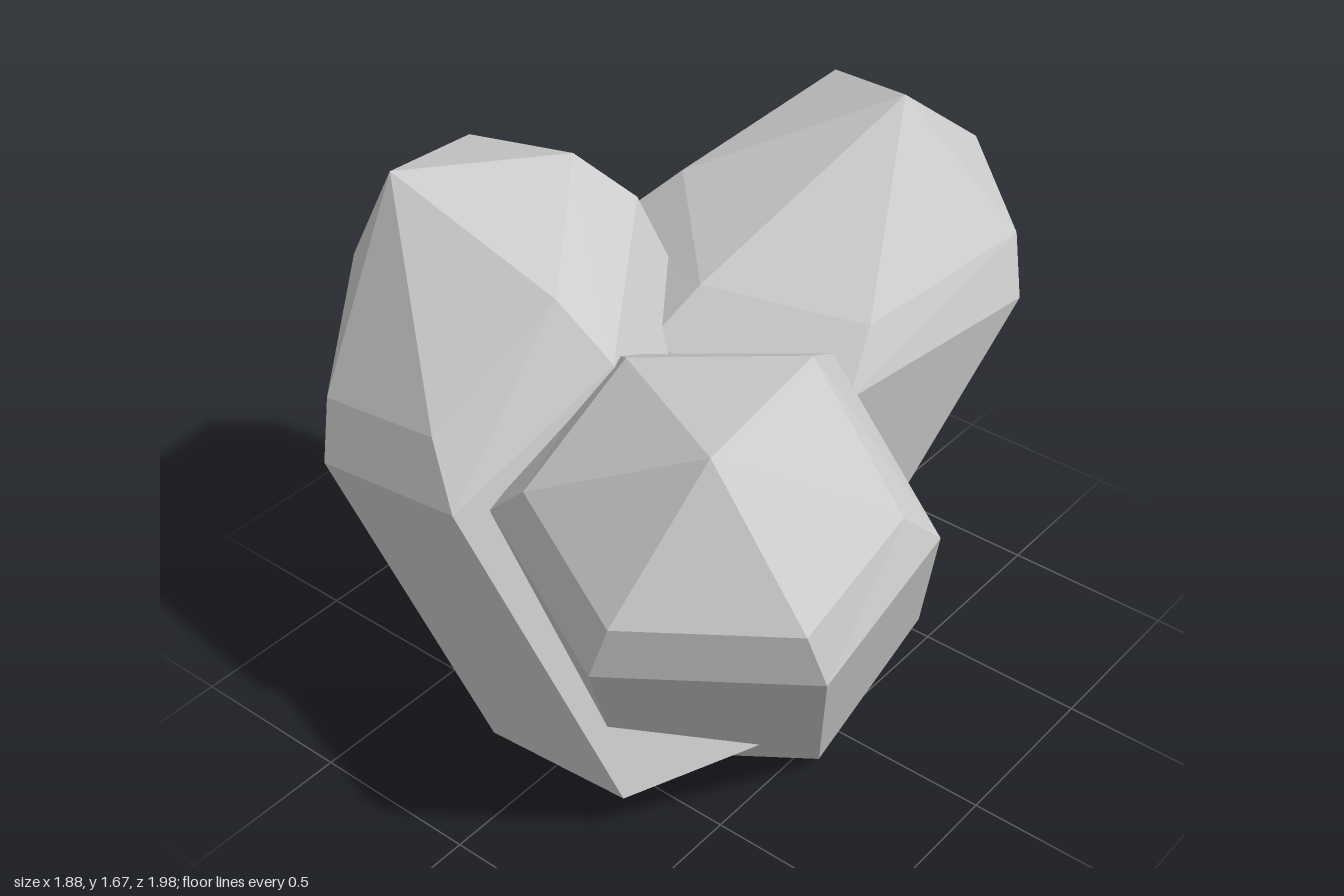
import * as THREE from 'three';

const v = (p) => new THREE.Vector3(...p);

// Six-sided crystal: flat base, slanted shaft, narrow bevel and pointed tip.
// base: centre of the base; axis: growth direction; a, b: two corners spanning the
// hexagon; heights: shaft length at each of the six edges; tip: length to the point.
function crystal({ name, base, axis, a, b, heights, tip }, material) {
  const o = v(base), d = v(axis).normalize(), A = v(a), B = v(b);
  const spokes = [[-1, 0], [-1, 1], [0, 1], [1, 0], [1, -1], [0, -1]]
    .map(([i, j]) => A.clone().multiplyScalar(i).addScaledVector(B, j));
  const ring = (scale, lift) => spokes.map((s, i) =>
    o.clone().addScaledVector(s, scale).addScaledVector(d, lift(i)));

  const rings = [
    ring(0, () => 0),                        // base centre
    ring(1, () => 0),                        // base edge
    ring(1, (i) => heights[i]),              // top of the shaft
    ring(0.82, (i) => heights[i] + 0.175),   // top of the bevel
    ring(0, () => tip),                      // point
  ];

  const points = [];
  for (let r = 0; r < rings.length - 1; r++) {
    for (let i = 0; i < 6; i++) {
      const j = (i + 1) % 6, lo = rings[r], hi = rings[r + 1];
      if (r > 0) points.push(lo[i], lo[j], hi[j]);
      if (r < 3) points.push(lo[i], hi[j], hi[i]);
      if (r === 3) continue;
    }
  }
  const geometry = new THREE.BufferGeometry().setFromPoints(points);
  geometry.computeVertexNormals();
  const mesh = new THREE.Mesh(geometry, material);
  mesh.name = name;
  return mesh;
}

export function createModel() {
  const group = new THREE.Group();
  group.name = 'crystalCluster';
  const material = new THREE.MeshStandardMaterial({ color: 0xcccccc, flatShading: true });

  const crystals = [
    {
      name: 'rightCrystal',
      base: [0.06, 0.11, 0.17], axis: [-0.41, 0.895, 0.175],
      a: [0.53, 0.11, 0.05], b: [0.25, 0.01, 0.51],
      heights: [1.15, 0.97, 0.97, 1.21, 1.39, 1.37], tip: 1.68,
    },
    {
      name: 'leftCrystal',
      base: [0.09, 0.19, -0.03], axis: [0.348, 0.805, 0.481],
      a: [0.46, 0, -0.33], b: [0.49, -0.15, 0.19],
      heights: [1.01, 1.02, 1.02, 0.9, 1.16, 1.1], tip: 1.52,
    },
    {
      name: 'backCrystal',
      base: [-0.2, 0.167, 0.045], axis: [0.247, 0.884, -0.397],
      a: [-0.51, 0.09, 0.19], b: [-0.43, -0.027, -0.325],
      heights: [1.25, 1.335, 1.4, 1.13, 1.0, 1.04], tip: 1.7,
    },
  ];
  for (const c of crystals) group.add(crystal(c, material));
  return group;
}
